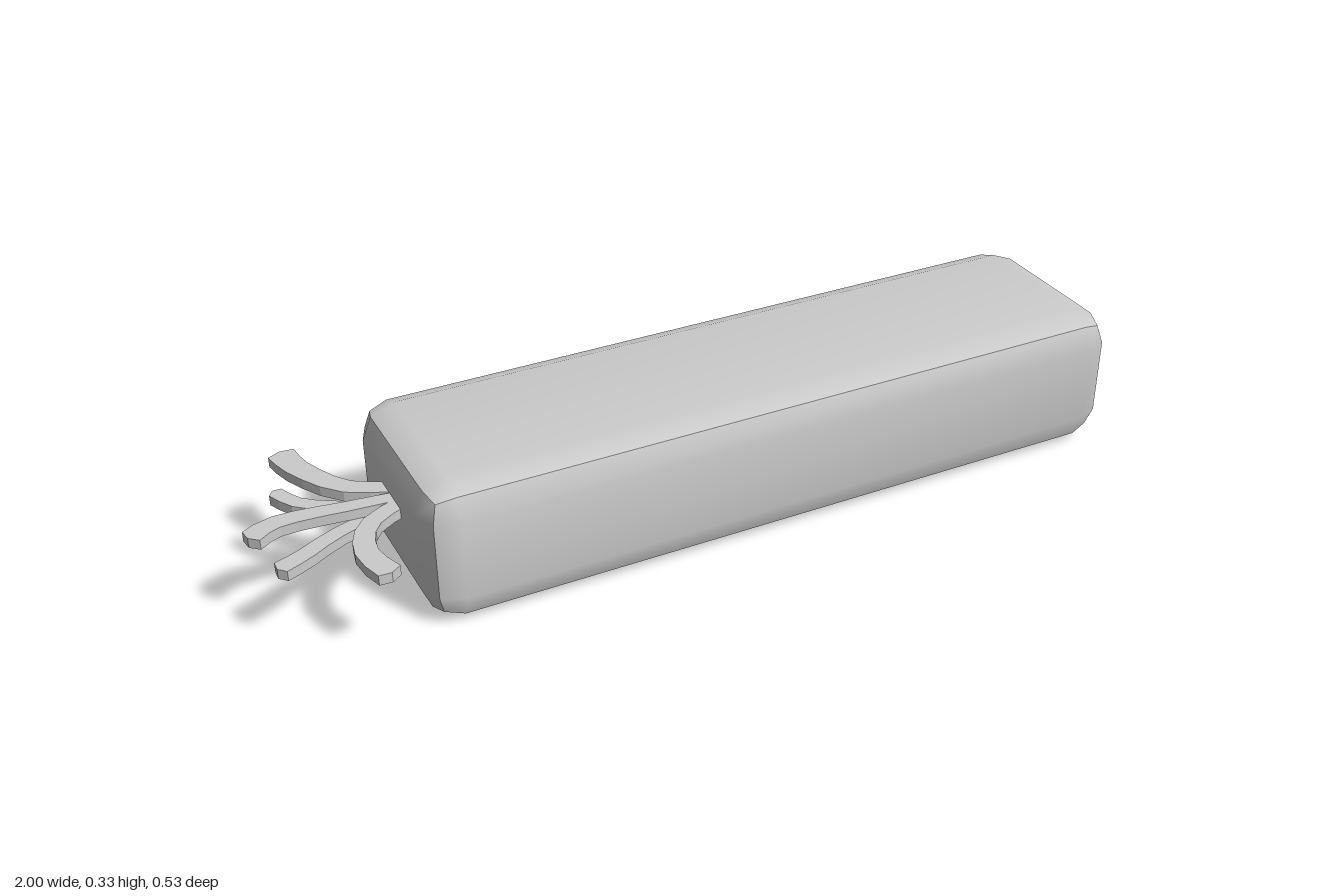
import * as THREE from 'three';

const material = new THREE.MeshStandardMaterial({ color: 0xcccccc });

// Box with softened edges and corners; each of the six sides is smooth, with a crease between sides
function softBox(min, max, margin, edgeInset, cornerInset) {
  const geometry = new THREE.BoxGeometry(1, 1, 1, 3, 3, 3);
  const pos = geometry.attributes.position;
  for (let i = 0; i < pos.count; i++) {
    const p = [pos.getX(i), pos.getY(i), pos.getZ(i)];
    const outer = p.filter((v) => Math.abs(v) > 0.4).length;
    const inset = [0, 0, edgeInset, cornerInset][outer];
    const q = p.map((v, k) => {
      const d = Math.abs(v) > 0.4 ? inset : margin;
      return v > 0 ? max[k] - d : min[k] + d;
    });
    pos.setXYZ(i, ...q);
  }
  geometry.computeVertexNormals();
  return geometry;
}

// Flat curved strand: a centre line in (x, z), widened on both sides and extruded upwards
function strand(points, widths, bottom, height) {
  const curve = new THREE.CatmullRomCurve3(points.map(([x, z]) => new THREE.Vector3(x, 0, z)));
  const steps = 8, left = [], right = [];
  for (let i = 0; i <= steps; i++) {
    const u = i / steps;
    const p = curve.getPoint(u), t = curve.getTangent(u);
    const half = THREE.MathUtils.lerp(widths[0], widths[1], u) / 2;
    left.push(new THREE.Vector2(p.x - t.z * half, -(p.z + t.x * half)));
    right.push(new THREE.Vector2(p.x + t.z * half, -(p.z - t.x * half)));
  }
  // Blunt point at the free end
  const end = curve.getPoint(1), dir = curve.getTangent(1);
  const tip = new THREE.Vector2(end.x + dir.x * 0.009, -(end.z + dir.z * 0.009));
  const shape = new THREE.Shape([...left, tip, ...right.reverse()]);
  const geometry = new THREE.ExtrudeGeometry(shape, { depth: height, bevelEnabled: false });
  geometry.rotateX(-Math.PI / 2);
  geometry.translate(0, bottom, 0);
  return geometry;
}

export function createModel() {
  const model = new THREE.Group();
  model.name = 'model';

  // Long block
  const body = new THREE.Mesh(
    softBox([-0.69, 0, -0.242], [1, 0.33, 0.225], 0.075, 0.022, 0.033), material);
  body.name = 'body';
  model.add(body);

  // Frayed strands at the -x end, in two layers; centre lines run from root to tip
  const upper = 0.195, lower = 0.171;
  const strands = [
    { y: upper, w: [0.035, 0.06], path: [[-0.66, -0.02], [-0.7, -0.035], [-0.767, -0.075], [-0.81, -0.14], [-0.837, -0.203], [-0.846, -0.256]] },
    { y: lower, w: [0.035, 0.034], path: [[-0.66, 0.005], [-0.7, 0], [-0.8, -0.05], [-0.863, -0.096], [-0.892, -0.152]] },
    { y: upper, w: [0.03, 0.05], path: [[-0.66, 0.015], [-0.7, 0.01], [-0.8, 0], [-0.88, -0.01], [-0.943, -0.007], [-0.987, 0.017]] },
    { y: lower, w: [0.03, 0.042], path: [[-0.66, 0.015], [-0.7, 0.018], [-0.783, 0.035], [-0.853, 0.064], [-0.906, 0.093], [-0.957, 0.113]] },
    { y: upper, w: [0.035, 0.052], path: [[-0.66, 0.035], [-0.7, 0.045], [-0.76, 0.08], [-0.79, 0.13], [-0.798, 0.187], [-0.779, 0.253]] },
  ];
  const tassel = new THREE.Group();
  tassel.name = 'tassel';
  strands.forEach(({ y, w, path }, i) => {
    const mesh = new THREE.Mesh(strand(path, w, y, 0.023), material);
    mesh.name = `strand${i + 1}`;
    tassel.add(mesh);
  });
  model.add(tassel);
  return model;
}
